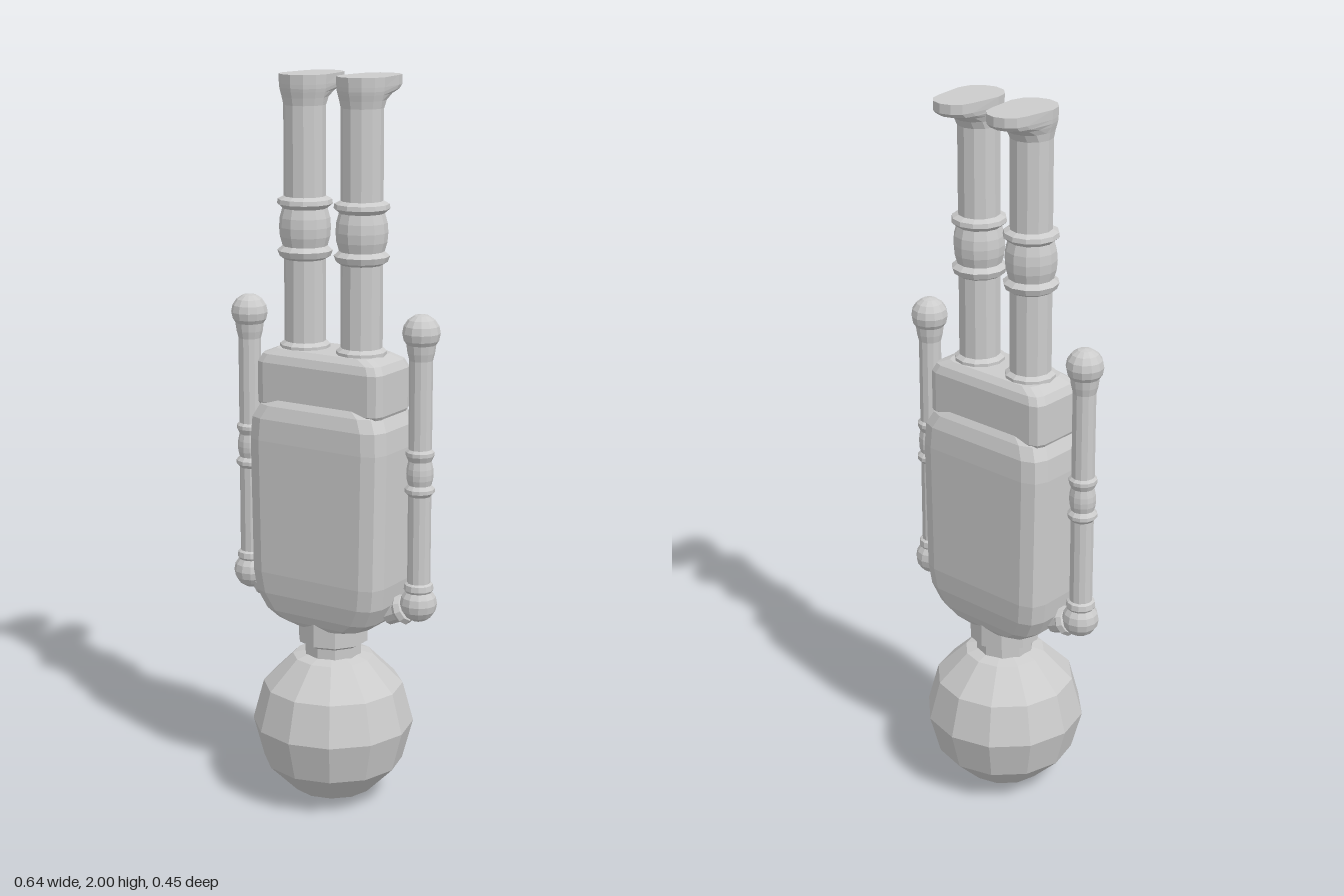
import * as THREE from 'three';

const mat = new THREE.MeshStandardMaterial({ color: 0xcccccc, flatShading: true });

function add(parent, name, geo, x = 0, y = 0, z = 0) {
  const mesh = new THREE.Mesh(geo, mat);
  mesh.name = name;
  mesh.position.set(x, y, z);
  parent.add(mesh);
  return mesh;
}

const lathe = (profile, sides = 12) =>
  new THREE.LatheGeometry(profile.map(([r, y]) => new THREE.Vector2(r, y)), sides);

// Closed skin over a stack of rings; each ring is { y, pts: [[x, z], ...] }
function loft(rings) {
  const pos = [], idx = [], n = rings[0].pts.length;
  for (const { y, pts } of rings) for (const [x, z] of pts) pos.push(x, y, z);
  for (let i = 0; i < rings.length - 1; i++) {
    for (let j = 0; j < n; j++) {
      const a = i * n + j, b = i * n + (j + 1) % n, c = a + n, d = b + n;
      idx.push(a, c, b, b, c, d);
    }
  }
  const last = (rings.length - 1) * n;
  for (let j = 1; j < n - 1; j++) idx.push(0, j, j + 1, last, last + j + 1, last + j);
  const geo = new THREE.BufferGeometry();
  geo.setAttribute('position', new THREE.Float32BufferAttribute(pos, 3));
  geo.setIndex(idx);
  geo.computeVertexNormals();
  return geo;
}

// Rectangle with rounded corners, three points to a corner
function roundedRect(hw, hd, r) {
  const pts = [];
  [[1, 1], [-1, 1], [-1, -1], [1, -1]].forEach(([sx, sz], q) => {
    for (let k = 0; k < 3; k++) {
      const a = q * Math.PI / 2 + k * Math.PI / 4;
      pts.push([sx * (hw - r) + r * Math.cos(a), sz * (hd - r) + r * Math.sin(a)]);
    }
  });
  return pts;
}

// Sole outline: round heel at +z, round toe reaching back to toeZ
function soleOutline(heel, toe, toeZ) {
  const pts = [];
  for (let k = 0; k <= 6; k++) {
    const a = k * Math.PI / 6;
    pts.push([heel * Math.cos(a), heel * Math.sin(a)]);
  }
  for (let k = 0; k <= 6; k++) {
    const a = Math.PI + k * Math.PI / 6;
    pts.push([toe * Math.cos(a), toeZ + toe + toe * Math.sin(a)]);
  }
  return pts;
}

function makeLeg() {
  const leg = new THREE.Group();
  add(leg, 'hipCollar', lathe([[0.05, 1.26], [0.068, 1.27], [0.068, 1.285], [0.055, 1.295]]));
  add(leg, 'legTube', lathe([[0.056, 1.26], [0.056, 1.94]]));
  add(leg, 'knee', lathe([
    [0.056, 1.515], [0.068, 1.522], [0.074, 1.538], [0.06, 1.55], [0.067, 1.575],
    [0.069, 1.6], [0.067, 1.625], [0.06, 1.65], [0.074, 1.662], [0.072, 1.674], [0.056, 1.682],
  ]));
  add(leg, 'foot', loft([
    { y: 1.92, pts: soleOutline(0.056, 0.056, -0.057) },
    { y: 1.94, pts: soleOutline(0.06, 0.057, -0.068) },
    { y: 1.955, pts: soleOutline(0.064, 0.057, -0.095) },
    { y: 1.964, pts: soleOutline(0.066, 0.057, -0.13) },
    { y: 1.975, pts: soleOutline(0.067, 0.058, -0.143) },
    { y: 2, pts: soleOutline(0.068, 0.058, -0.143) },
  ]));
  return leg;
}

function makeArm(side) {
  const arm = new THREE.Group();
  const x = side * 0.272;
  add(arm, 'shoulderBall', new THREE.SphereGeometry(0.05, 12, 8), x, 0.615);
  add(arm, 'shoulderCuff', lathe([[0.034, 0.645], [0.04, 0.655], [0.038, 0.67], [0.03, 0.675]]), x);
  add(arm, 'armTube', lathe([[0.031, 0.62], [0.031, 1.34]]), x);
  add(arm, 'elbow', lathe([
    [0.031, 0.915], [0.04, 0.925], [0.04, 0.935], [0.031, 0.945], [0.035, 0.96], [0.036, 0.975],
    [0.035, 0.99], [0.031, 1.01], [0.038, 1.025], [0.038, 1.035], [0.031, 1.042],
  ]), x);
  add(arm, 'wrist', lathe([[0.031, 1.28], [0.036, 1.3], [0.04, 1.33]]), x);
  add(arm, 'hand', new THREE.SphereGeometry(0.05, 12, 8), x, 1.352);
  // Flared joint from the shoulder ball into the torso
  const joint = add(arm, 'shoulderJoint',
    lathe([[0, -0.01], [0.028, 0], [0.03, 0.035], [0.042, 0.05], [0.036, 0.065], [0, 0.07]], 10),
    side * 0.178, 0.565);
  joint.rotation.z = -side * 1.1;
  return arm;
}

export function createModel() {
  const model = new THREE.Group();
  model.name = 'invertedFigure';

  add(model, 'head', new THREE.SphereGeometry(0.223, 12, 6), 0, 0.225);
  add(model, 'neck', lathe([[0.08, 0.41], [0.08, 0.457]], 10));
  add(model, 'collar', lathe([[0.08, 0.455], [0.098, 0.465], [0.098, 0.53]], 10));

  // Torso: half width, half depth and corner radius by height
  const torso = [
    [0.512, 0.09, 0.085, 0.04], [0.525, 0.14, 0.095, 0.05], [0.55, 0.172, 0.105, 0.05],
    [0.6, 0.198, 0.115, 0.05], [0.66, 0.206, 0.12, 0.05], [1.03, 0.212, 0.12, 0.05],
    [1.09, 0.208, 0.117, 0.05], [1.125, 0.19, 0.105, 0.05], [1.145, 0.15, 0.09, 0.04],
  ];
  add(model, 'torso', loft(torso.map(([y, w, d, r]) => ({ y, pts: roundedRect(w, d, r) }))));

  const pelvis = [
    [1.11, 0.185, 0.085, 0.03], [1.13, 0.195, 0.093, 0.03], [1.24, 0.195, 0.093, 0.03],
    [1.262, 0.184, 0.085, 0.03], [1.277, 0.15, 0.07, 0.03],
  ];
  add(model, 'pelvis', loft(pelvis.map(([y, w, d, r]) => ({ y, pts: roundedRect(w, d, r) }))));

  for (const side of [1, -1]) {
    const word = side > 0 ? 'left' : 'right';
    const leg = makeLeg();
    leg.name = word + 'Leg';
    leg.position.x = side * 0.089;
    const arm = makeArm(side);
    arm.name = word + 'Arm';
    model.add(leg, arm);
  }
  return model;
}
